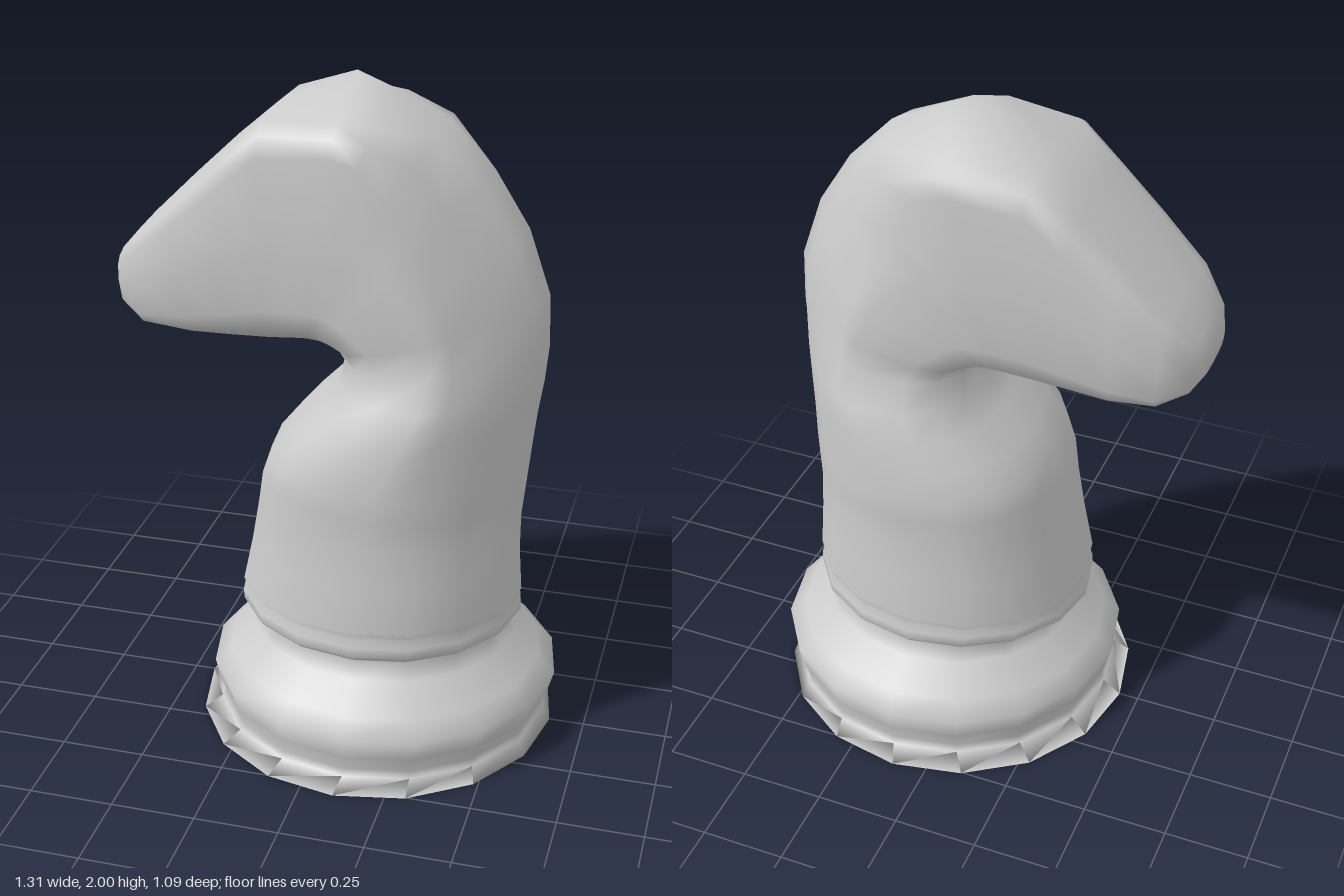
import * as THREE from 'three';

const SIDES = 16;
const material = new THREE.MeshStandardMaterial({ color: 0xcccccc });

// Lofts rings through sections: [frontX, frontY, backX, backY, halfWidth, frontPower, backPower, ridge].
// Powers shape each half of the ring (1 round, below 1 boxy, above 1 wedge); ridge lifts the back centre.
function loft(sections, { capStart = false, capEnd = false } = {}) {
  const pos = [], index = [];
  for (const [fx, fy, bx, by, hw, pf = 1, pb = 1, ridge = 0] of sections) {
    for (let i = 0; i < SIDES; i++) {
      const a = (i / SIDES) * Math.PI * 2;
      const c = Math.cos(a), s = Math.sin(a);
      const p = c >= 0 ? pb : pf;
      const u = Math.sign(c) * Math.abs(c) ** p;
      const w = Math.sign(s) * Math.abs(s) ** p;
      const t = (1 + u) / 2;
      const lift = c > 0.01 ? ridge * (1 - Math.abs(w)) : 0;
      pos.push(fx + (bx - fx) * t, fy + (by - fy) * t + lift, w * hw);
    }
  }
  for (let j = 0; j < sections.length - 1; j++) {
    for (let i = 0; i < SIDES; i++) {
      const a = j * SIDES + i, b = j * SIDES + ((i + 1) % SIDES);
      index.push(a, a + SIDES, b, b, a + SIDES, b + SIDES);
    }
  }
  const cap = (j, isEnd) => {
    const [fx, fy, bx, by] = sections[j];
    const centre = pos.length / 3;
    pos.push((fx + bx) / 2, (fy + by) / 2, 0);
    for (let i = 0; i < SIDES; i++) {
      const a = j * SIDES + i, b = j * SIDES + ((i + 1) % SIDES);
      index.push(centre, isEnd ? b : a, isEnd ? a : b);
    }
  };
  if (capStart) cap(0, false);
  if (capEnd) cap(sections.length - 1, true);
  const g = new THREE.BufferGeometry();
  g.setAttribute('position', new THREE.Float32BufferAttribute(pos, 3));
  g.setIndex(index);
  g.computeVertexNormals();
  return g;
}

// Level ring, used for the turned base
const level = (y, front, back, hw) => [front, y, back, y, hw];

export function createModel() {
  const group = new THREE.Group();
  const add = (name, geometry) => {
    const mesh = new THREE.Mesh(geometry, material);
    mesh.name = name;
    group.add(mesh);
  };

  // Flared foot, rounded moulding, waist and collar ring
  add('base', loft([
    level(0, -0.44, 0.645, 0.545),
    level(0.04, -0.385, 0.622, 0.5),
    level(0.06, -0.375, 0.615, 0.49),
    level(0.11, -0.39, 0.635, 0.505),
    level(0.17, -0.405, 0.652, 0.512),
    level(0.22, -0.355, 0.6, 0.465),
    level(0.3, -0.28, 0.525, 0.385),
    level(0.345, -0.25, 0.495, 0.352),
    level(0.365, -0.3, 0.525, 0.38),
    level(0.38, -0.315, 0.54, 0.392),
    level(0.41, -0.315, 0.54, 0.392),
    level(0.43, -0.302, 0.53, 0.38),
    level(0.455, -0.31, 0.54, 0.385),
  ], { capStart: true }));

  // Neck bending over into the head, ending at the muzzle
  add('neckAndHead', loft([
    [-0.31, 0.45, 0.54, 0.45, 0.385, 0.95, 1],
    [-0.275, 0.6, 0.53, 0.59, 0.372, 0.9, 1],
    [-0.25, 0.73, 0.53, 0.7, 0.36, 0.85, 1.05],
    [-0.232, 0.83, 0.538, 0.78, 0.366, 0.8, 1.1],
    [-0.2, 0.905, 0.545, 0.85, 0.366, 0.75, 1.15],
    [-0.14, 0.98, 0.555, 0.95, 0.355, 0.75, 1.25],
    [-0.06, 1.06, 0.565, 1.04, 0.345, 0.75, 1.35],
    [0.0, 1.13, 0.58, 1.14, 0.32, 0.75, 1.5],
    [0.015, 1.2, 0.59, 1.25, 0.275, 0.7, 1.6],
    [0.0, 1.235, 0.585, 1.4, 0.275, 0.6, 1.7],
    [-0.02, 1.248, 0.52, 1.59, 0.278, 0.5, 1.65],
    [-0.045, 1.252, 0.42, 1.75, 0.272, 0.5, 1.4],
    [-0.08, 1.252, 0.29, 1.885, 0.268, 0.5, 0.9],
    [-0.1, 1.25, 0.13, 1.885, 0.265, 0.5, 0.32, 0.075],
    [-0.12, 1.248, 0.03, 1.89, 0.262, 0.5, 0.25, 0.11],
    [-0.18, 1.24, -0.19, 1.9, 0.255, 0.5, 0.35],
    [-0.29, 1.235, -0.31, 1.795, 0.245, 0.5, 0.4],
    [-0.42, 1.233, -0.44, 1.67, 0.238, 0.5, 0.45],
    [-0.55, 1.25, -0.57, 1.54, 0.22, 0.5, 0.5],
    [-0.625, 1.28, -0.64, 1.46, 0.155, 0.6, 0.6],
    [-0.655, 1.325, -0.655, 1.405, 0.105, 0.7, 0.7],
  ], { capEnd: true }));

  return group;
}
